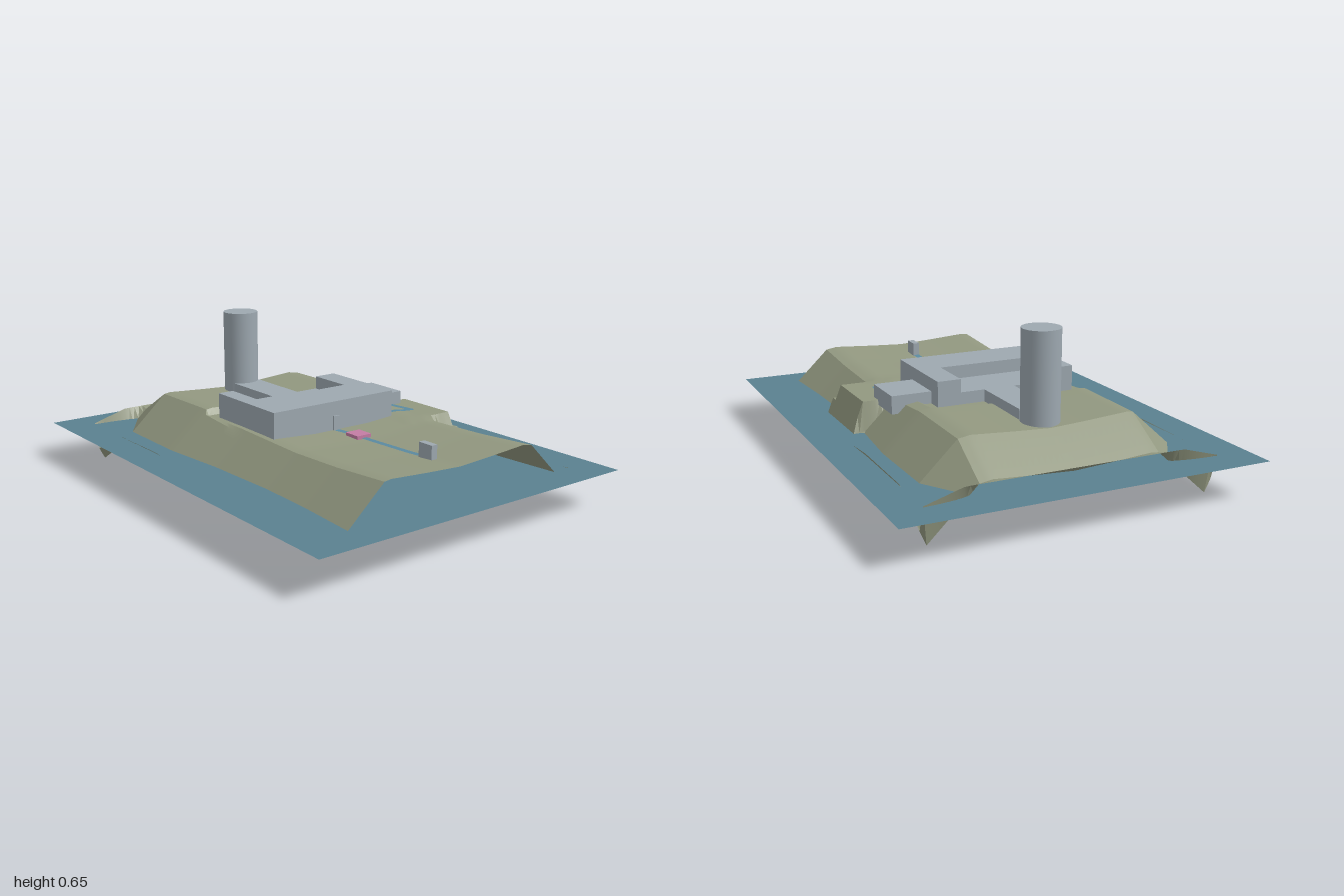
import * as THREE from 'three';
import { toCreasedNormals } from 'three/addons/utils/BufferGeometryUtils.js';

const mat = (name, color, side = THREE.FrontSide) => {
  const m = new THREE.MeshStandardMaterial({ color, side });
  m.name = name;
  return m;
};

// piecewise-linear interpolation through [position, value] pairs in ascending order
function lerpTable(table, t) {
  if (t <= table[0][0]) return table[0][1];
  for (let i = 1; i < table.length; i++) {
    const [a, va] = table[i - 1], [b, vb] = table[i];
    if (t <= b) return va + (vb - va) * (t - a) / (b - a);
  }
  return table[table.length - 1][1];
}

// subdivide between breakpoints so that creases land on grid lines
function subdivide(points, step) {
  const out = [points[0]];
  for (let i = 1; i < points.length; i++) {
    const a = points[i - 1], b = points[i];
    const n = Math.max(1, Math.round((b - a) / step));
    for (let k = 1; k <= n; k++) out.push(a + (b - a) * k / n);
  }
  return out;
}

const RIDGE = [[-0.83, 0.2], [-0.65, 0.308], [-0.3, 0.312], [0, 0.288], [0.35, 0.278], [0.6, 0.285], [0.865, 0.302]];
const PROFILE = [[-0.605, -0.152], [-0.58, -0.2], [-0.36, -0.004], [-0.33, 0], [-0.15, -0.012], [0, -0.02],
  [0.15, -0.012], [0.33, 0], [0.38, -0.008], [0.58, -0.2], [0.605, -0.144]];

// ground height, with a levelled building pad and a side terrace
function height(x, z) {
  if (z < -0.84) return 0.205 - 0.045 * Math.max(0, (Math.abs(x) - 0.45) / 0.155);
  let y = lerpTable(RIDGE, z) + lerpTable(PROFILE, x);
  if (x > -0.375 && x < 0.3 && z > -0.29 && z < 0.2) y = Math.min(y, 0.285);
  if (x > 0.25 && x < 0.59 && z > -0.03) {
    const drop = Math.max(0, (x - 0.505) / 0.05, (z - 0.28) / 0.07, -z / 0.02);
    y = Math.max(y, 0.28 - 0.125 * drop);
  }
  return y;
}

function terrainGeometry() {
  const xs = subdivide([-0.605, -0.58, -0.376, -0.36, -0.33, 0, 0.299, 0.33, 0.38, 0.505, 0.555, 0.58, 0.605], 0.025);
  const zs = subdivide([-0.865, -0.83, -0.65, -0.291, -0.27, -0.02, 0, 0.199, 0.28, 0.35, 0.865], 0.036);
  const pos = [], idx = [], w = xs.length;
  for (const z of zs) for (const x of xs) pos.push(x, height(x, z), z);
  for (let j = 0; j < zs.length - 1; j++) {
    for (let i = 0; i < w - 1; i++) {
      const a = j * w + i, b = a + 1, c = a + w, d = c + 1;
      idx.push(a, c, b, b, c, d);
    }
  }
  const g = new THREE.BufferGeometry();
  g.setAttribute('position', new THREE.Float32BufferAttribute(pos, 3));
  g.setIndex(idx);
  return toCreasedNormals(g, 0.35);
}

// flat ribbon draped over the ground between two points
function ribbonGeometry([x0, z0], [x1, z1], width) {
  const n = 14, pos = [], idx = [];
  const len = Math.hypot(x1 - x0, z1 - z0);
  const sx = -(z1 - z0) / len * width / 2, sz = (x1 - x0) / len * width / 2;
  for (let i = 0; i <= n; i++) {
    const x = x0 + (x1 - x0) * i / n, z = z0 + (z1 - z0) * i / n;
    const y = height(x, z) + 0.005;
    pos.push(x + sx, y, z + sz, x - sx, y, z - sz);
    if (i < n) idx.push(2 * i, 2 * i + 2, 2 * i + 1, 2 * i + 1, 2 * i + 2, 2 * i + 3);
  }
  const g = new THREE.BufferGeometry();
  g.setAttribute('position', new THREE.Float32BufferAttribute(pos, 3));
  g.setIndex(idx);
  g.computeVertexNormals();
  return g;
}

export function createModel() {
  const model = new THREE.Group();
  model.name = 'islandStation';
  const ground = mat('ground green', 0x929880, THREE.DoubleSide);
  const water = mat('water blue', 0x5a8190, THREE.DoubleSide);
  const wall = mat('building grey', 0x9da8b0);
  const path = mat('path blue', 0x5b8aa0, THREE.DoubleSide);
  const pink = mat('marker pink', 0xc47ca4);

  const add = (name, geometry, material, parent = model) => {
    const mesh = new THREE.Mesh(geometry, material);
    mesh.name = name;
    parent.add(mesh);
    return mesh;
  };
  // box given by its limits on each axis
  const box = (name, [x0, x1], [y0, y1], [z0, z1], material, parent) =>
    add(name, new THREE.BoxGeometry(x1 - x0, y1 - y0, z1 - z0), material, parent)
      .position.set((x0 + x1) / 2, (y0 + y1) / 2, (z0 + z1) / 2);

  // land and water sheet
  add('terrain', terrainGeometry(), ground);
  const sea = add('water', new THREE.PlaneGeometry(1.49, 2), water);
  sea.rotation.x = -Math.PI / 2;
  sea.position.y = 0.156;

  // main block: U-shaped roof around a lower court that opens to the rear
  const building = new THREE.Group();
  building.name = 'building';
  model.add(building);
  const u = new THREE.Shape([[-0.34, -0.18], [0.27, -0.18], [0.27, 0.22], [0.17, 0.22],
    [0.17, 0.02], [-0.27, 0.02], [-0.27, 0.22], [-0.34, 0.22]].map(p => new THREE.Vector2(...p)));
  const uMesh = add('mainBlock', new THREE.ExtrudeGeometry(u, { depth: 0.12, bevelEnabled: false }), wall, building);
  uMesh.rotation.x = -Math.PI / 2;
  uMesh.position.y = 0.27;
  box('courtFloor', [-0.27, 0.17], [0.27, 0.335], [-0.22, -0.02], wall, building);
  box('corridor', [-0.068, 0.066], [0.27, 0.335], [-0.52, -0.22], wall, building);
  box('sideAnnex', [0.27, 0.44], [0.26, 0.335], [-0.155, 0.045], wall, building);
  box('frontDoor', [-0.046, -0.016], [0.27, 0.33], [0.18, 0.187], wall, building);
  box('annexDoor', [0.358, 0.385], [0.27, 0.328], [0.045, 0.051], wall, building);

  // round tower at the rear
  add('tower', new THREE.CylinderGeometry(0.077, 0.077, 0.39, 32), wall, building).position.set(0, 0.46, -0.565);

  // small hut and the paths that join the parts
  box('gateHut', [-0.014, 0.014], [0.26, 0.33], [0.66, 0.73], wall);
  box('pathMarker', [-0.035, 0.035], [0.25, 0.275], [0.25, 0.325], pink);
  const paths = [
    [[0, 0.66], [0, 0.32]], [[-0.008, 0.26], [-0.03, 0.18]],
    [[0.372, 0.045], [0.392, 0.172]], [[0.27, 0.138], [0.4, 0.17]],
  ];
  paths.forEach(([a, b], i) => add('path' + (i + 1), ribbonGeometry(a, b, 0.026), path));
  return model;
}
